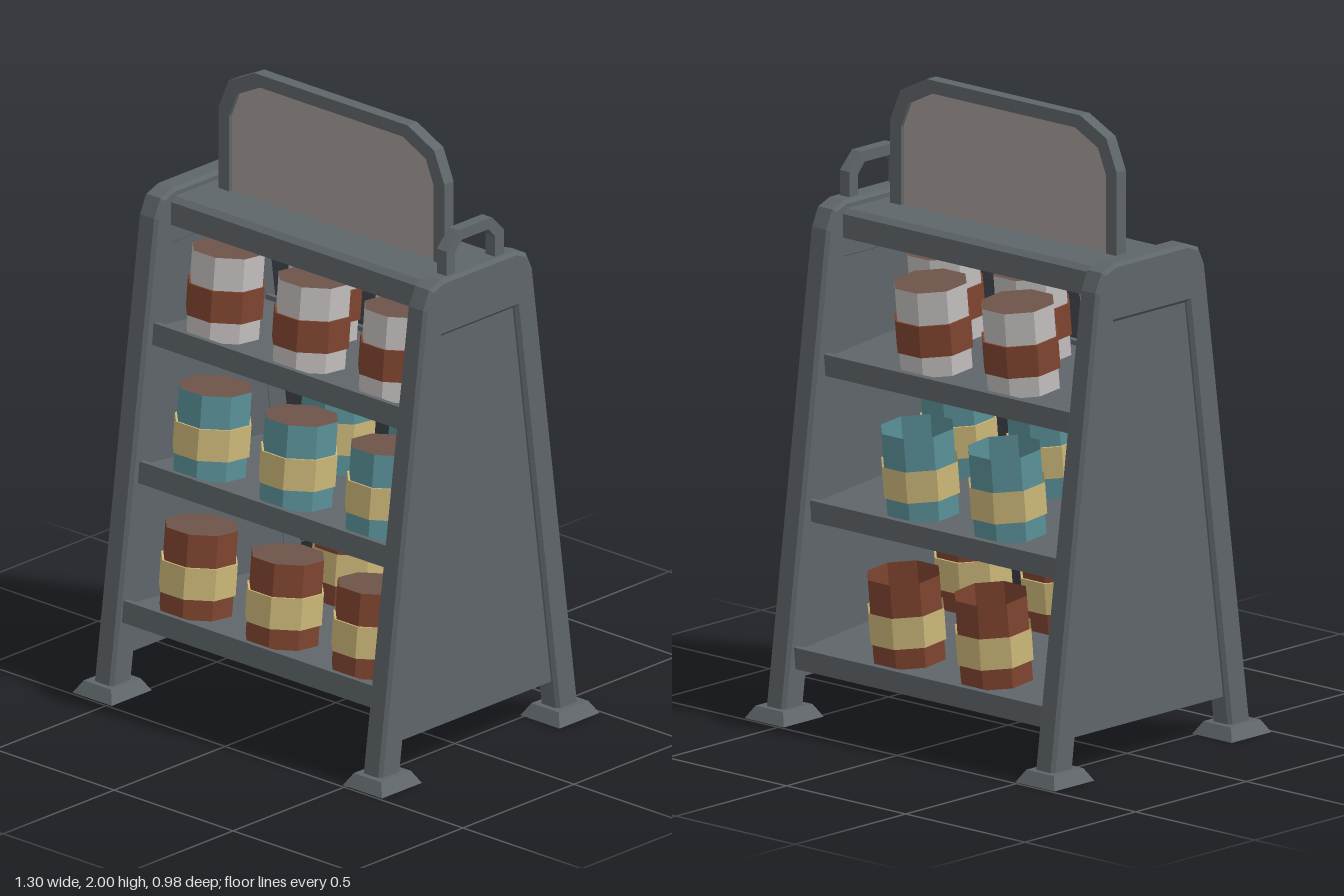
import * as THREE from 'three';

const mat = (name, color, extra = {}) => {
  const m = new THREE.MeshStandardMaterial({ color, ...extra });
  m.name = name;
  return m;
};

export function createModel() {
  const both = { side: THREE.DoubleSide };
  const frame = mat('slate grey', 0x5f666a);
  const board = mat('warm grey board', 0xa69d9a);
  const lidMat = mat('dull brown lid', 0x6e544a);
  const rust = mat('rust red', 0x7f4530, both);
  const teal = mat('teal', 0x5a9299, both);
  const cream = mat('straw yellow', 0xcdb87a, both);
  const white = mat('off white', 0xc2bebd, both);

  const root = new THREE.Group();
  root.name = 'displayRack';

  const add = (parent, name, geo, material, x = 0, y = 0, z = 0) => {
    const mesh = new THREE.Mesh(geo, material);
    mesh.name = name;
    mesh.position.set(x, y, z);
    parent.add(mesh);
    return mesh;
  };
  // closed outline from its right half, mirrored to the other side
  const mirrored = (half) => new THREE.Shape([
    ...half, ...half.slice().reverse().map(([a, b]) => [-a, b]),
  ].map(([a, b]) => new THREE.Vector2(a, b)));
  // plate centred on its thickness, with an optional chamfer
  const plate = (half, thick, bevel = 0) => new THREE.ExtrudeGeometry(mirrored(half), {
    depth: thick - 2 * bevel, bevelEnabled: bevel > 0, bevelSegments: 1,
    bevelSize: bevel, bevelThickness: bevel, bevelOffset: -bevel,
  }).translate(0, 0, bevel - thick / 2);
  const sidePlate = (...args) => plate(...args).rotateY(Math.PI / 2);

  // side frames with recessed panels and flared feet
  const sideOutline = [
    [0.355, 0.02], [0.45, 0.02], [0.245, 1.525], [0.217, 1.585], [0.165, 1.605],
  ];
  // arch: outer edge, then back along the inner edge
  const arch = (outer, inner) => [...inner.slice().reverse(), ...outer];
  const sideArch = () => {
    const outer = sideOutline.slice(1);
    const pts = [
      ...outer, ...outer.slice().reverse().map(([a, b]) => [-a, b]),
      [-0.355, 0.02], [-0.166, 1.42], [0.166, 1.42], [0.355, 0.02],
    ].map(([a, b]) => new THREE.Vector2(a, b));
    return pts;
  };
  const archPlate = (pts, thick, bevel) => new THREE.ExtrudeGeometry(new THREE.Shape(pts), {
    depth: thick - 2 * bevel, bevelEnabled: bevel > 0, bevelSegments: 1,
    bevelSize: bevel, bevelThickness: bevel, bevelOffset: -bevel,
  }).translate(0, 0, bevel - thick / 2);
  const ring = (outer, inner) => [
    ...outer, ...outer.slice().reverse().map(([a, b]) => [-a, b]),
    ...inner.slice().reverse().map(([a, b]) => [-a, b]).reverse(),
    ...inner.slice().reverse(),
  ].map(([a, b]) => new THREE.Vector2(a, b));

  const footGeo = new THREE.BoxGeometry(0.165, 0.04, 0.18).toNonIndexed();
  const fp = footGeo.attributes.position;
  for (let i = 0; i < fp.count; i++) {
    if (fp.getY(i) > 0) fp.setXYZ(i, fp.getX(i) * 0.7, fp.getY(i), fp.getZ(i) * 0.74);
  }
  footGeo.computeVertexNormals();

  for (const [s, side] of [[1, 'left'], [-1, 'right']]) {
    add(root, side + 'SideFrame', archPlate(sideArch(), 0.08, 0.011).rotateY(Math.PI / 2),
      frame, s * 0.565);
    add(root, side + 'SidePanel', sidePlate([[0.35, 0.13], [0.178, 1.43]], 0.06),
      frame, s * 0.557);
    for (const [t, end] of [[1, 'Front'], [-1, 'Back']]) {
      add(root, side + end + 'Foot', footGeo, frame, s * 0.568, 0.02, t * 0.4);
    }
  }

  // top beam with chamfered upper edges
  add(root, 'topBeam', sidePlate([[0.18, 1.49], [0.18, 1.565], [0.16, 1.58]], 1.06), frame);

  // header sign: rim and board
  const signInner = [[0.43, 1.57], [0.43, 1.83], [0.397, 1.91], [0.3, 1.958]];
  add(root, 'signRim', archPlate(ring(
    [[0.475, 1.57], [0.475, 1.845], [0.432, 1.946], [0.322, 2]], signInner), 0.042, 0), frame);
  add(root, 'signBoard', plate(signInner, 0.016), board);

  // carrying handle on the left side
  add(root, 'handle', archPlate(ring(
    [[0.13, 1.59], [0.13, 1.685], [0.075, 1.74]],
    [[0.09, 1.59], [0.09, 1.672], [0.06, 1.705]]), 0.04, 0).rotateY(Math.PI / 2), frame, 0.565);

  // eight-sided can with a raised label band
  const H = 0.275, R = 0.119;
  const tube = (r, h) => new THREE.CylinderGeometry(r, r, h, 8, 1, true, Math.PI / 8).toNonIndexed();
  const flat = (geo) => { geo.computeVertexNormals(); return geo; };
  const bodyGeo = flat(tube(R, H));
  const bandGeo = flat(new THREE.CylinderGeometry(0.126, 0.126, 0.102, 8, 1, false, Math.PI / 8)
    .toNonIndexed());
  const openBandGeo = flat(tube(0.126, 0.102));
  const discGeo = new THREE.CircleGeometry(R, 8, Math.PI / 8).rotateX(-Math.PI / 2);
  const makeCan = (body, label, lidded) => {
    const can = new THREE.Group();
    can.name = 'can';
    add(can, 'canBody', bodyGeo, body, 0, H / 2);
    add(can, 'canLabel', lidded ? bandGeo : openBandGeo, label, 0, 0.118);
    if (lidded) add(can, 'canLid', discGeo, lidMat, 0, H);
    else add(can, 'canFloor', discGeo, body, 0, 0.004);
    return can;
  };

  // tilted shelves, each with three cans in front and two behind
  const shelves = [
    { name: 'bottomShelf', y: 0.235, half: 0.4, row: 0.247, body: rust, label: cream, backLids: false },
    { name: 'middleShelf', y: 0.682, half: 0.328, row: 0.185, body: teal, label: cream, backLids: false },
    { name: 'topShelf', y: 1.127, half: 0.264, row: 0.125, body: white, label: rust, backLids: true },
  ];
  for (const s of shelves) {
    const shelf = new THREE.Group();
    shelf.name = s.name;
    shelf.position.y = s.y;
    shelf.rotation.x = -0.1;
    root.add(shelf);
    add(shelf, 'shelfBoard', new THREE.BoxGeometry(1.06, 0.055, s.half * 2 - 0.04), frame, 0, -0.0075);
    for (const t of [1, -1]) {
      add(shelf, 'shelfLip', new THREE.BoxGeometry(1.06, 0.07, 0.02), frame, 0, 0, t * (s.half - 0.01));
    }
    const spots = [[-0.362, 1], [0, 1], [0.362, 1], [-0.183, -1], [0.183, -1]];
    for (const [x, t] of spots) {
      const can = makeCan(s.body, s.label, t > 0 || s.backLids);
      can.position.set(x, 0.02, t * s.row);
      shelf.add(can);
    }
  }
  return root;
}
